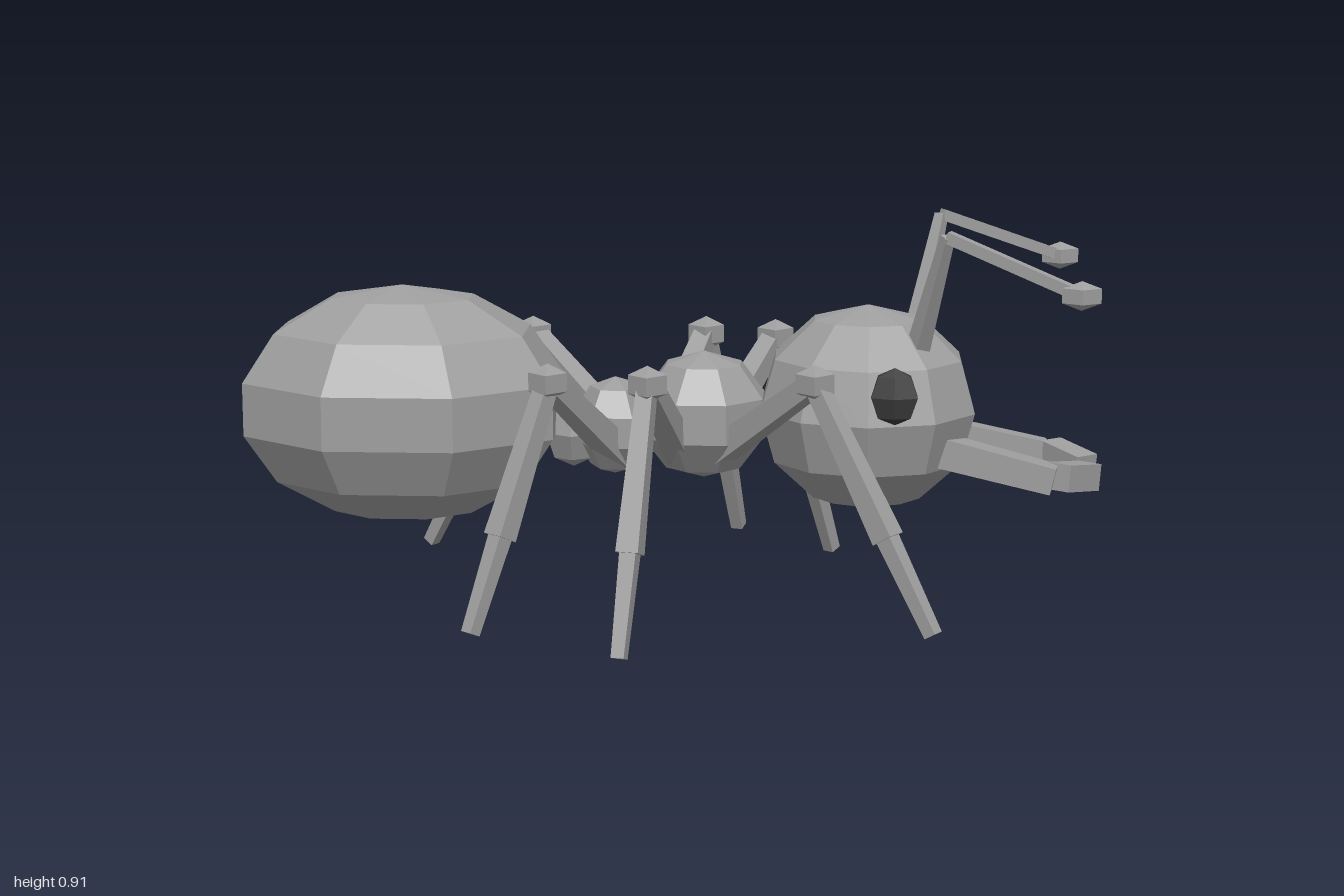
import * as THREE from 'three';

const shell = new THREE.MeshStandardMaterial({ color: 0x9e9e9e, flatShading: true });
shell.name = 'grey shell';
const dark = new THREE.MeshStandardMaterial({ color: 0x3a3a3a, flatShading: true });
dark.name = 'dark eye';

export function createModel() {
  const model = new THREE.Group();
  model.name = 'ant';

  // Faceted ellipsoid; turn rotates the facets about the vertical axis
  function blob(name, pos, radii, segs, stacks, turn = 0, mat = shell, parent = model) {
    const g = new THREE.SphereGeometry(1, segs, stacks);
    g.rotateY(turn);
    g.scale(...radii);
    const m = new THREE.Mesh(g, mat);
    m.name = name;
    m.position.set(...pos);
    parent.add(m);
  }

  // Tapered square bar from a to b, with side lengths wa and wb
  function bar(name, a, b, wa, wb, parent) {
    const p = new THREE.Vector3(...a), q = new THREE.Vector3(...b);
    const len = p.distanceTo(q);
    const g = new THREE.CylinderGeometry(wb * Math.SQRT1_2, wa * Math.SQRT1_2, len, 4);
    g.rotateY(Math.PI / 4);
    g.rotateX(Math.PI / 2);
    g.translate(0, 0, len / 2);
    const m = new THREE.Mesh(g, shell);
    m.name = name;
    m.position.copy(p);
    m.lookAt(q);
    parent.add(m);
  }

  const mix = (a, b, t) => a.map((v, i) => v + (b[i] - v) * t);

  // Body
  blob('abdomen', [-0.633, 0.472, 0], [0.4, 0.28, 0.3], 8, 7, Math.PI / 8);
  blob('rearWaist', [-0.235, 0.41, 0], [0.07, 0.085, 0.078], 6, 4, Math.PI / 6);
  blob('frontWaist', [-0.137, 0.425, 0], [0.1, 0.115, 0.132], 6, 5);
  blob('thorax', [0.07, 0.453, 0], [0.158, 0.15, 0.162], 8, 5, Math.PI / 8);
  blob('head', [0.45, 0.474, 0], [0.259, 0.241, 0.254], 10, 6, Math.PI / 10);

  // Legs: [name, hip, knee, foot]
  const legs = [
    ['rightRearLeg', [-0.12, 0.36, 0.04], [-0.263, 0.585, 0.32], [-0.42, 0.055, 0.505]],
    ['rightMiddleLeg', [0.02, 0.37, 0.05], [-0.04, 0.585, 0.335], [-0.09, 0.012, 0.535]],
    ['rightFrontLeg', [0.09, 0.36, 0.05], [0.33, 0.585, 0.305], [0.595, 0.06, 0.48]],
    ['leftRearLeg', [-0.1, 0.36, -0.05], [-0.362, 0.585, -0.327], [-0.648, 0.012, -0.515]],
    ['leftMiddleLeg', [-0.035, 0.37, -0.05], [0.06, 0.585, -0.345], [0.135, 0.055, -0.545]],
    ['leftFrontLeg', [0.08, 0.36, -0.05], [0.23, 0.585, -0.31], [0.372, 0.012, -0.49]],
  ];
  for (const [name, hip, knee, foot] of legs) {
    const leg = new THREE.Group();
    leg.name = name;
    const ankle = mix(knee, foot, 0.62);
    bar('upperLeg', hip, knee, 0.062, 0.045, leg);
    blob('knee', knee, [0.05, 0.042, 0.05], 4, 3, 0, shell, leg);
    bar('lowerLeg', knee, ankle, 0.038, 0.052, leg);
    bar('foot', ankle, foot, 0.038, 0.03, leg);
    model.add(leg);
  }

  // Paired features of the head
  for (const s of [1, -1]) {
    const side = s > 0 ? 'right' : 'left';

    blob(side + 'Eye', [0.508, 0.542, s * 0.23], [0.06, 0.066, 0.038], 6, 4, Math.PI / 6, dark);

    const antenna = new THREE.Group();
    antenna.name = side + 'Antenna';
    const elbow = [0.622, 0.9, s * 0.2], tip = [0.912, 0.788, s * 0.315];
    bar('antennaBase', [0.562, 0.63, s * 0.11], elbow, 0.04, 0.024, antenna);
    bar('antennaEnd', elbow, tip, 0.026, 0.026, antenna);
    blob('antennaTip', tip, [0.05, 0.033, 0.033], 4, 3, 0, shell, antenna);
    model.add(antenna);

    const mandible = new THREE.Group();
    mandible.name = side + 'Mandible';
    bar('mandibleBase', [0.62, 0.395, s * 0.108], [0.875, 0.338, s * 0.147], 0.07, 0.062, mandible);
    bar('mandibleTip', [0.885, 0.343, s * 0.142], [0.963, 0.325, s * 0.04], 0.062, 0.062, mandible);
    model.add(mandible);
  }

  return model;
}
